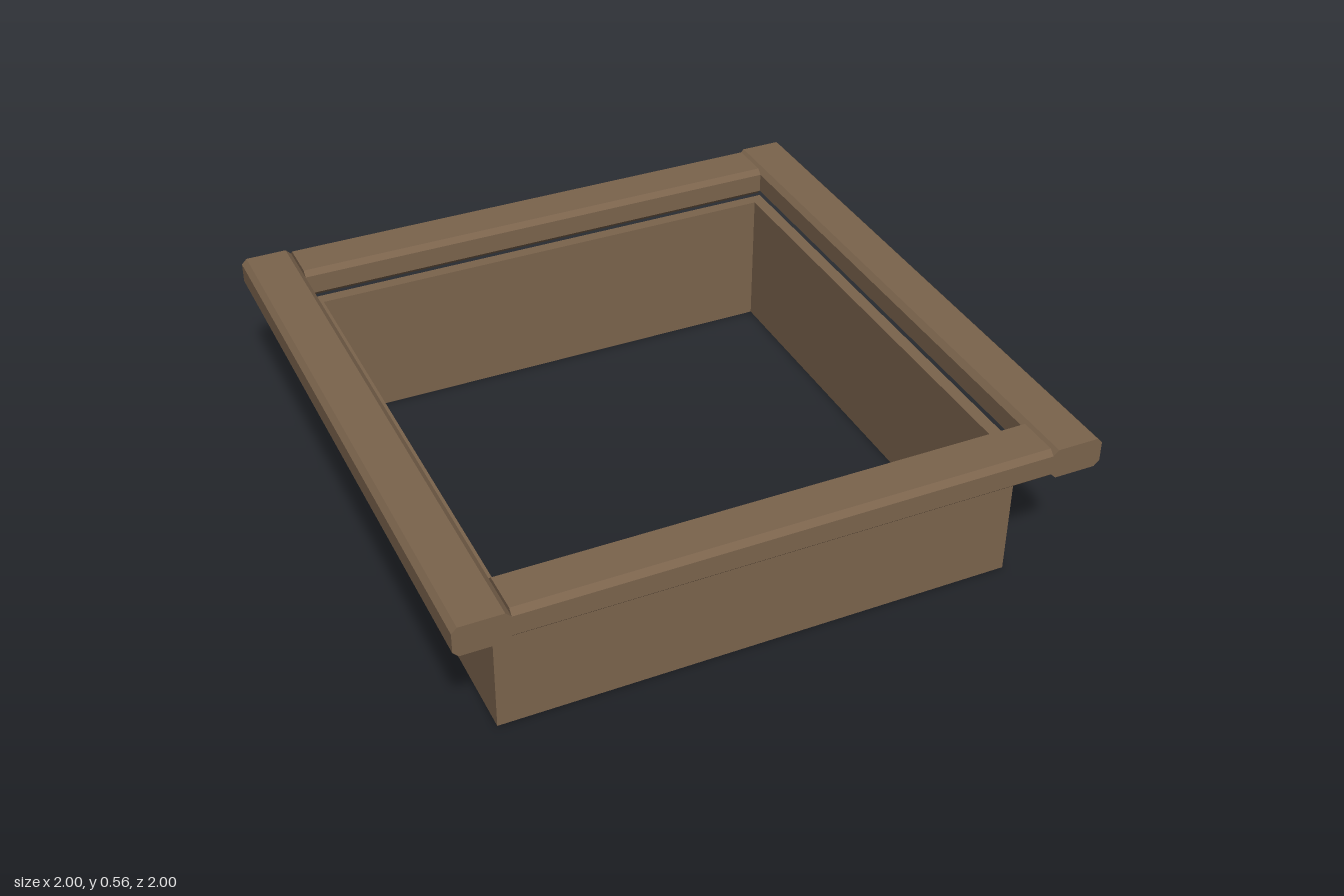
import * as THREE from 'three';

const OUTER = 1;          // half size of the rim
const BODY = 0.833;       // half size of the box body
const INNER = 0.792;      // half size of the opening
const WALL_TOP = 0.458;
const RIM_TOP = 0.556;
const BEVEL = 0.017;

const wood = new THREE.MeshStandardMaterial({ color: 0x7a634c, flatShading: true });

// Closed polygon path from [x, y] pairs
function polygon(points, Type = THREE.Shape) {
  return new Type(points.map(([x, y]) => new THREE.Vector2(x, y)));
}

const square = (s) => [[-s, -s], [s, -s], [s, s], [-s, s]];

// Rail with chamfered long edges, running along z and centred
function makeRail(name, length) {
  const w = (OUTER - BODY) / 2;
  const h = (RIM_TOP - WALL_TOP) / 2;
  const b = BEVEL;
  const section = polygon([
    [-w + b, -h], [w - b, -h], [w, -h + b], [w, h - b],
    [w - b, h], [-w + b, h], [-w, h - b], [-w, -h + b],
  ]);
  const geometry = new THREE.ExtrudeGeometry(section, { depth: length, bevelEnabled: false });
  geometry.translate(0, 0, -length / 2);
  const rail = new THREE.Mesh(geometry, wood);
  rail.name = name;
  rail.position.y = (WALL_TOP + RIM_TOP) / 2;
  return rail;
}

export function createModel() {
  const model = new THREE.Group();
  model.name = 'planterFrame';

  // Open box body: square ring of four walls
  const ring = polygon(square(BODY));
  ring.holes.push(polygon(square(INNER), THREE.Path));
  const bodyGeometry = new THREE.ExtrudeGeometry(ring, { depth: WALL_TOP, bevelEnabled: false });
  bodyGeometry.rotateX(-Math.PI / 2);
  const body = new THREE.Mesh(bodyGeometry, wood);
  body.name = 'boxWalls';
  model.add(body);

  // Rim: full-length side rails with shorter front and back rails between them
  const centre = (OUTER + BODY) / 2;
  for (const side of [1, -1]) {
    const sideRail = makeRail(side > 0 ? 'leftRail' : 'rightRail', OUTER * 2);
    sideRail.position.x = side * centre;

    const crossRail = makeRail(side > 0 ? 'frontRail' : 'backRail', BODY * 2);
    crossRail.rotation.y = Math.PI / 2;
    crossRail.position.z = side * centre;

    model.add(sideRail, crossRail);
  }
  return model;
}
